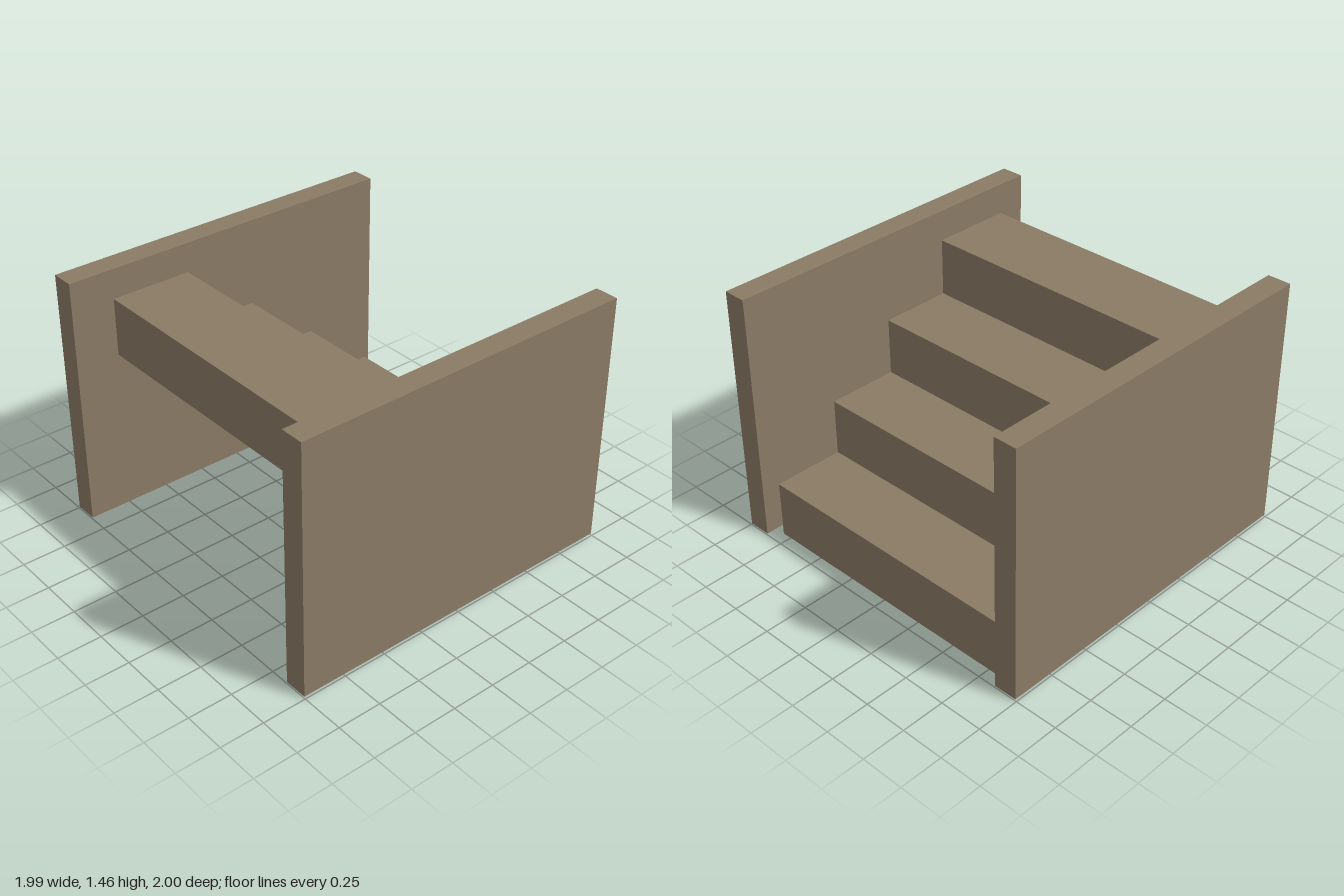
import * as THREE from 'three';

export function createModel() {
  const model = new THREE.Group();
  model.name = 'staircase';
  const wood = new THREE.MeshStandardMaterial({ color: 0x8b7b65 });
  wood.name = 'brown wood';

  // A box given by its size and centre
  const addBox = (name, size, centre) => {
    const mesh = new THREE.Mesh(new THREE.BoxGeometry(...size), wood);
    mesh.name = name;
    mesh.position.set(...centre);
    model.add(mesh);
  };

  // Side walls, standing just clear of the steps
  for (const [side, name] of [[1, 'leftWall'], [-1, 'rightWall']]) {
    addBox(name, [0.133, 1.45, 2], [side * 0.927, 0.735, 0]);
  }

  // Four overlapping steps, rising from the back to the front
  const rise = 0.33, run = 0.415, depth = 0.463;
  for (let i = 0; i < 4; i++) {
    const backZ = -0.93 + i * run;
    addBox(`step${i + 1}`, [1.62, rise, depth], [-0.002, (i + 0.5) * rise, backZ + depth / 2]);
  }
  return model;
}
